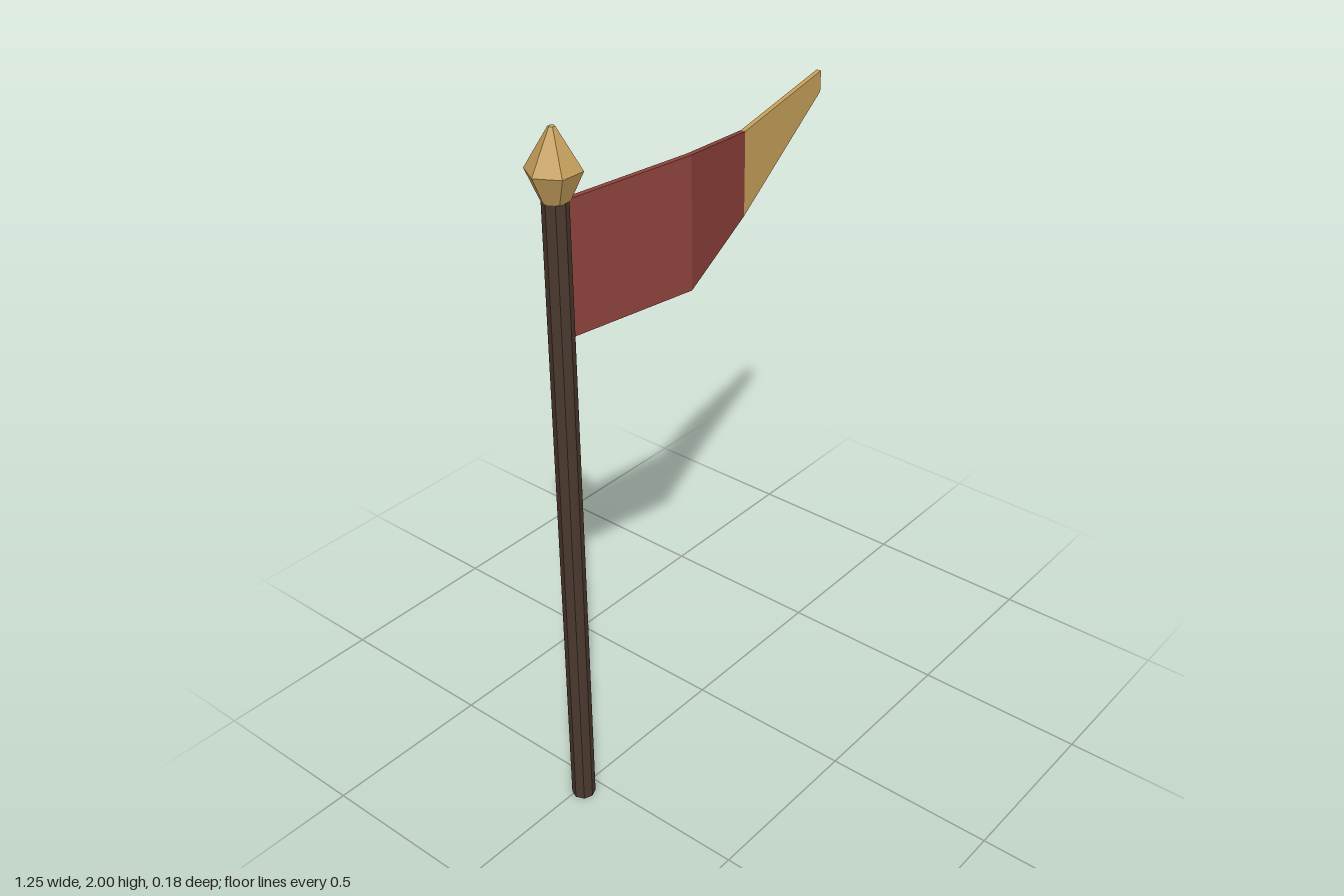
import * as THREE from 'three';

const flat = (name, color) => {
  const m = new THREE.MeshStandardMaterial({ color, flatShading: true });
  m.name = name;
  return m;
};

// Closed strip of cloth; each section is [x, z, bottom, top]
function clothGeometry(sections, thickness) {
  const t = thickness / 2;
  const pos = [];
  const quad = (a, b, c, d) => pos.push(...a, ...b, ...c, ...a, ...c, ...d);
  // Corners run front-bottom, back-bottom, back-top, front-top
  const rings = sections.map(([x, z, lo, hi]) => [
    [x, lo, z + t], [x, lo, z - t], [x, hi, z - t], [x, hi, z + t],
  ]);
  for (let i = 0; i < rings.length - 1; i++) {
    const p = rings[i], q = rings[i + 1];
    for (let k = 0; k < 4; k++) {
      const n = (k + 1) % 4;
      quad(p[k], p[n], q[n], q[k]);
    }
  }
  const s = rings[0], e = rings[rings.length - 1];
  quad(s[0], s[3], s[2], s[1]);
  quad(e[0], e[1], e[2], e[3]);
  const g = new THREE.BufferGeometry();
  g.setAttribute('position', new THREE.Float32BufferAttribute(pos, 3));
  g.computeVertexNormals();
  return g;
}

export function createModel() {
  const group = new THREE.Group();
  group.name = 'pennantOnPole';
  const wood = flat('darkWood', 0x4a382e);
  const red = flat('redCloth', 0x8e423b);
  const gold = flat('gold', 0xc49e5a);
  const poleX = -0.552, poleZ = 0.015;

  const add = (name, geometry, material, x = 0, y = 0, z = 0) => {
    const mesh = new THREE.Mesh(geometry, material);
    mesh.name = name;
    mesh.position.set(x, y, z);
    group.add(mesh);
    return mesh;
  };

  // Pole
  add('pole', new THREE.CylinderGeometry(0.033, 0.033, 1.82, 8), wood, poleX, 0.91, poleZ);

  // Six-sided spear finial, a corner pointing along x
  const finial = [[0, 1.818], [0.037, 1.818], [0.071, 1.893], [0.009, 1.997], [0, 2]]
    .map(([r, y]) => new THREE.Vector2(r, y));
  add('finial', new THREE.LatheGeometry(finial, 6, Math.PI / 6), gold, poleX, 0, poleZ);

  // Waving pennant with a gold tip
  const fold = [0.22, -0.041, 1.5, 1.743];
  add('pennant', clothGeometry([
    [-0.545, 0.008, 1.45, 1.808],
    [-0.15, 0.081, 1.456, 1.822],
    fold,
  ], 0.015), red);
  add('pennantTip', clothGeometry([fold, [0.622, -0.086, 1.732, 1.793]], 0.015), gold);

  return group;
}
